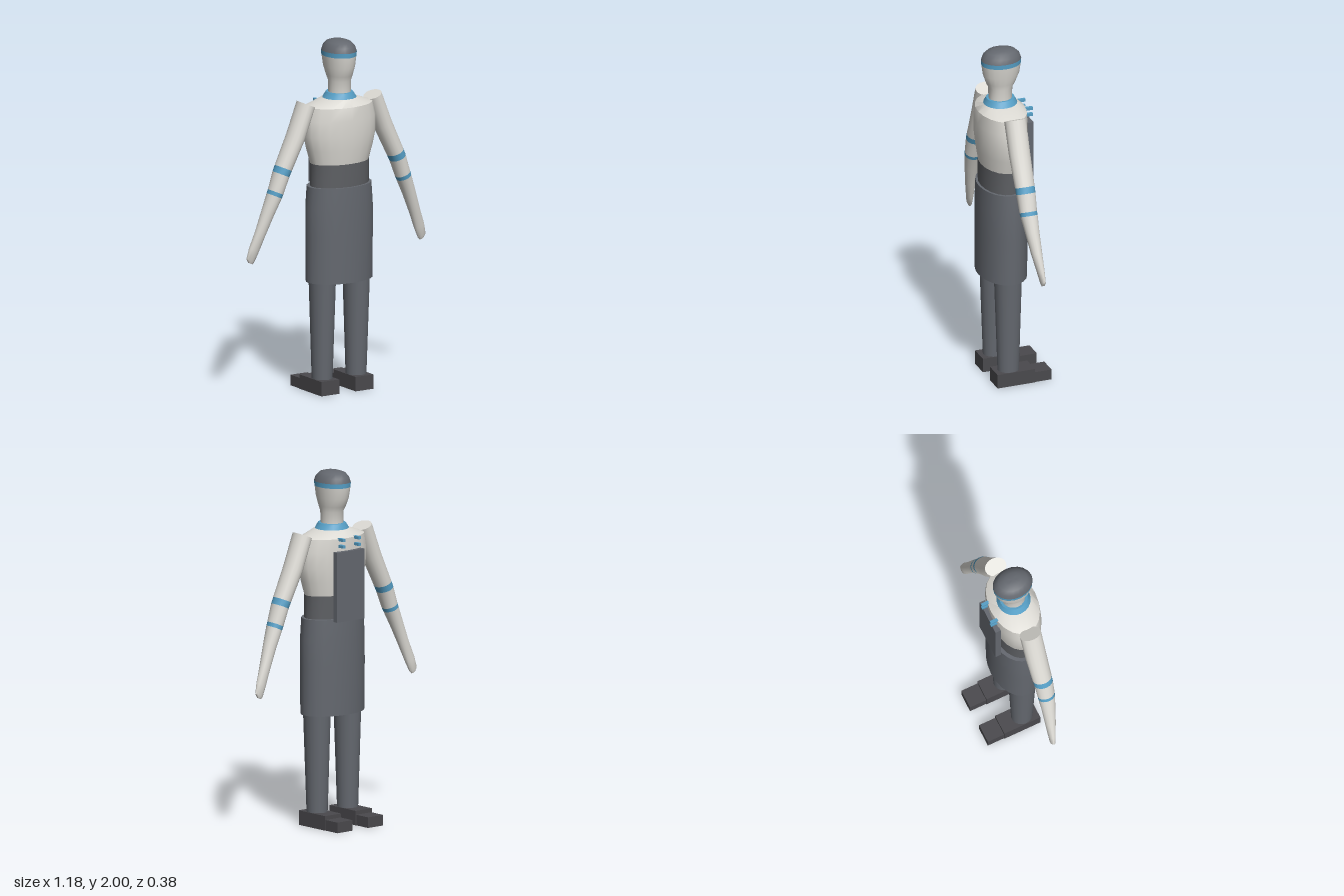
import * as THREE from 'three';
import { toCreasedNormals } from 'three/addons/utils/BufferGeometryUtils.js';

const mat = (name, color) => {
  const m = new THREE.MeshStandardMaterial({ color });
  m.name = name;
  return m;
};

// Skins a list of elliptical rings (bottom to top) and closes both ends.
// Ring: { c: centre, u: radius vector sideways, rz: radius along z }
function loft(rings, sides = 20, crease = 0.7) {
  const pos = [], idx = [];
  for (const { c, u, rz } of rings) {
    for (let i = 0; i < sides; i++) {
      const a = (i / sides) * Math.PI * 2;
      pos.push(c[0] + u[0] * Math.cos(a), c[1] + u[1] * Math.cos(a), c[2] + rz * Math.sin(a));
    }
  }
  const last = (rings.length - 1) * sides;
  const bottom = pos.length / 3;
  pos.push(...rings[0].c, ...rings[rings.length - 1].c);
  for (let i = 0; i < sides; i++) {
    const n = (i + 1) % sides;
    for (let j = 0; j < last; j += sides) {
      idx.push(j + i, j + sides + i, j + n, j + n, j + sides + i, j + sides + n);
    }
    idx.push(bottom, i, n, bottom + 1, last + n, last + i);
  }
  const g = new THREE.BufferGeometry();
  g.setAttribute('position', new THREE.Float32BufferAttribute(pos, 3));
  g.setIndex(idx);
  return toCreasedNormals(g, crease);
}

// Upright rings from rows of [y, half width, half depth, centre z]
const upright = (rows, x = 0) =>
  rows.map(([y, rx, rz, z]) => ({ c: [x, y, z], u: [rx, 0], rz }));

export function createModel() {
  const light = mat('off white', 0xdcdad4);
  const blue = mat('blue trim', 0x569fc6);
  const grey = mat('slate grey', 0x64686f);
  const beltGrey = mat('belt grey', 0x5d5f63);
  const dark = mat('shoe grey', 0x4a494d);

  const model = new THREE.Group();
  model.name = 'figure';
  const add = (name, geometry, material, parent = model) => {
    const m = new THREE.Mesh(geometry, material);
    m.name = name;
    parent.add(m);
    return m;
  };
  const box = (name, material, x0, x1, y0, y1, z0, z1, parent) =>
    add(name, new THREE.BoxGeometry(x1 - x0, y1 - y0, z1 - z0), material, parent)
      .position.set((x0 + x1) / 2, (y0 + y1) / 2, (z0 + z1) / 2);

  // Head, headband and cap
  add('head', loft(upright([
    [1.69, 0.062, 0.066, 0.05], [1.77, 0.063, 0.068, 0.05], [1.8, 0.07, 0.085, 0.048],
    [1.85, 0.082, 0.104, 0.046], [1.912, 0.09, 0.113, 0.045]])), light);
  add('headband', loft(upright([[1.912, 0.091, 0.114, 0.045], [1.938, 0.092, 0.115, 0.045]])), blue);
  add('cap', loft(upright([
    [1.938, 0.092, 0.115, 0.045], [1.965, 0.083, 0.106, 0.045],
    [1.987, 0.064, 0.083, 0.045], [1.997, 0.038, 0.05, 0.045], [2, 0.015, 0.02, 0.045]])), grey);

  // Collar, torso, belt and skirt
  add('collar', loft(upright([[1.672, 0.097, 0.096, 0.05], [1.705, 0.074, 0.08, 0.05]])), blue);
  add('torso', loft(upright([
    [1.31, 0.18, 0.115, 0.05], [1.39, 0.204, 0.127, 0.05], [1.47, 0.223, 0.134, 0.05],
    [1.56, 0.222, 0.137, 0.048], [1.635, 0.203, 0.135, 0.046], [1.674, 0.095, 0.095, 0.05]])), light);
  add('belt', loft(upright([[1.17, 0.18, 0.115, 0.05], [1.31, 0.18, 0.115, 0.05]])), beltGrey);
  add('skirt', loft(upright([
    [0.635, 0.204, 0.135, 0.046], [0.9, 0.207, 0.136, 0.046],
    [1.06, 0.207, 0.135, 0.046], [1.18, 0.198, 0.132, 0.046]]), 24), grey);

  // Arm rings, bottom to top: [x, y, z, half width, half depth]
  const armRows = [
    [0.566, 0.785, 0.014, 0.014, 0.008], [0.566, 0.802, 0.015, 0.027, 0.014],
    [0.546, 0.86, 0.02, 0.033, 0.02], [0.507, 0.96, 0.03, 0.033, 0.031],
    [0.465, 1.07, 0.039, 0.038, 0.04], [0.428, 1.16, 0.045, 0.043, 0.049],
    [0.419, 1.181, 0.046, 0.044, 0.05], [0.385, 1.278, 0.047, 0.047, 0.055],
    [0.369, 1.312, 0.047, 0.048, 0.056], [0.288, 1.48, 0.047, 0.052, 0.061],
    [0.22, 1.657, 0.047, 0.05, 0.063]];
  const armParts = [
    ['forearmAndHand', 0, 5, light], ['lowerArmBand', 5, 6, blue], ['elbow', 6, 7, light],
    ['upperArmBand', 7, 8, blue], ['upperArm', 8, 10, light]];

  for (const [side, s] of [['left', 1], ['right', -1]]) {
    const arm = new THREE.Group();
    arm.name = side + 'Arm';
    model.add(arm);
    const rings = armRows.map(([x, y, z, r, rz]) => ({ c: [s * x, y, z], u: [0.91 * r, s * 0.41 * r], rz }));
    for (const [name, from, to, material] of armParts) {
      add(name, loft(rings.slice(from, to + 1), 16), material, arm);
    }

    // Leg and stepped shoe
    add(side + 'Leg', loft(upright([
      [0.075, 0.057, 0.061, 0.046], [0.7, 0.077, 0.081, 0.048]], s * 0.112), 18), grey);
    const shoe = new THREE.Group();
    shoe.name = side + 'Shoe';
    shoe.position.x = s * 0.113;
    model.add(shoe);
    box('shoeBody', dark, -0.059, 0.059, 0, 0.082, -0.09, 0.132, shoe);
    box('shoeEnd', dark, -0.055, 0.055, 0, 0.06, -0.19, -0.09, shoe);

    // Pegs above the back panel
    for (const y of [1.595, 1.632]) {
      const x = s * 0.057;
      box(side + 'Peg', blue, x - 0.009, x + 0.009, y - 0.008, y + 0.008, -0.12, -0.06);
    }
  }

  // Back panel
  box('backPanel', grey, -0.1, 0.1, 1.17, 1.565, -0.11, -0.077);

  return model;
}
